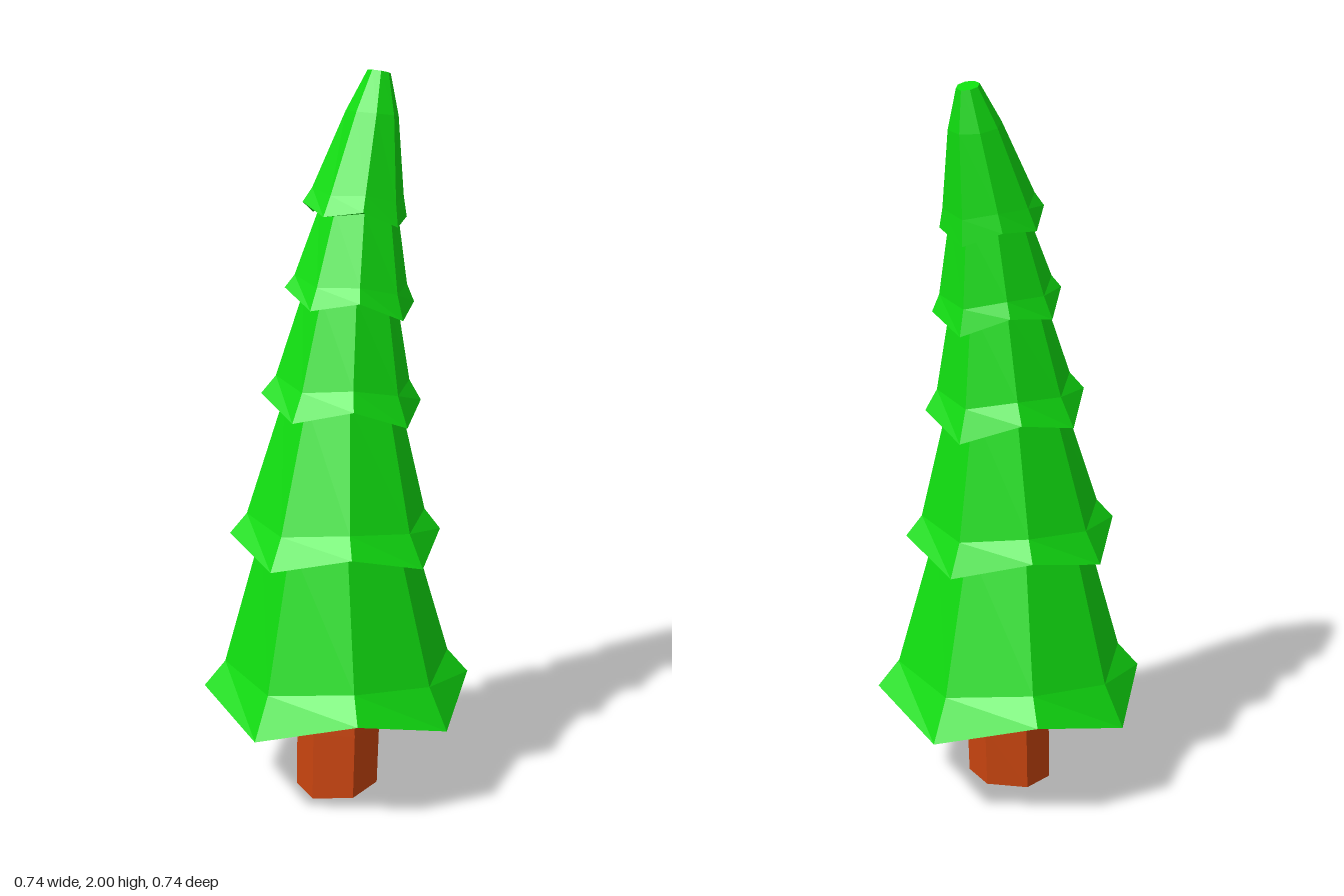
import * as THREE from 'three';

// Each ring: [y, radius, centreX, centreZ, zigzag, tiltX, tiltZ]
// zigzag drops the corners on the axes and lifts the diagonal ones.
function loft(rings, sides, startAngle) {
  const pos = [];
  const index = [];
  for (const [y, r, cx, cz, zig = 0, tx = 0, tz = 0] of rings) {
    for (let i = 0; i < sides; i++) {
      const a = startAngle + (i / sides) * Math.PI * 2;
      const c = Math.cos(a), s = Math.sin(a);
      pos.push(cx + r * c, y + (i % 2 ? zig : -zig) + tx * c + tz * s, cz + r * s);
    }
  }
  for (let k = 0; k < rings.length - 1; k++) {
    for (let i = 0; i < sides; i++) {
      const a = k * sides + i, b = k * sides + (i + 1) % sides;
      const c = a + sides, d = b + sides;
      if (rings[k + 1][1] > 0) index.push(a, c, d);
      if (rings[k][1] > 0) index.push(a, d, b);
    }
  }
  const indexed = new THREE.BufferGeometry();
  indexed.setAttribute('position', new THREE.Float32BufferAttribute(pos, 3));
  indexed.setIndex(index);
  const geo = indexed.toNonIndexed();
  geo.computeVertexNormals();
  return geo;
}

export function createModel() {
  const leafGreen = new THREE.MeshStandardMaterial({ color: 0x10dc10 });
  const barkBrown = new THREE.MeshStandardMaterial({ color: 0xcc4610 });
  const group = new THREE.Group();
  const add = (name, geo, mat) => {
    const mesh = new THREE.Mesh(geo, mat);
    mesh.name = name;
    group.add(mesh);
  };

  // Foliage: five flared tiers, each with a zigzag hem, leaning to the back
  add('foliage', loft([
    [0.38, 0, 0, 0],
    [0.38, 0.27, 0, 0],
    [0.283, 0.37, 0, 0, 0.035],
    [0.375, 0.312, 0, 0, 0.012],
    [0.765, 0.205, 0.005, 0.01],
    [0.728, 0.29, 0.008, 0.017, 0.027, 0, 0.01],
    [0.80, 0.245, 0.006, 0.012, 0.01, 0, 0.007],
    [1.135, 0.155, 0.005, -0.013],
    [1.103, 0.218, 0.006, -0.012, 0.025, -0.005, 0.02],
    [1.17, 0.182, 0.008, -0.016, 0.01, -0.004, 0.014],
    [1.415, 0.125, 0.015, -0.035],
    [1.388, 0.175, 0.02, -0.03, 0.02, -0.01, 0.025],
    [1.44, 0.152, 0.02, -0.036, 0.008, -0.007, 0.018],
    [1.64, 0.105, 0.022, -0.065],
    [1.622, 0.14, 0.022, -0.05, 0.014, -0.006, 0.027],
    [1.675, 0.123, 0.024, -0.062, 0.006, -0.004, 0.018],
    [1.885, 0.071, 0.033, -0.112, 0, 0, 0.012],
    [1.992, 0.031, 0.035, -0.14, 0, 0, 0.008],
    [1.992, 0, 0.035, -0.14],
  ], 8, 0), leafGreen);

  // Trunk: a slightly crooked six-sided post
  add('trunk', loft([
    [0.01, 0, 0.008, 0.012],
    [0.01, 0.113, 0.008, 0.012, 0, 0.003, -0.01],
    [0.19, 0.115, 0.01, 0.008],
    [0.39, 0.108, 0.008, 0.012],
    [0.39, 0, 0.008, 0.012],
  ], 6, Math.PI / 6), barkBrown);

  return group;
}
